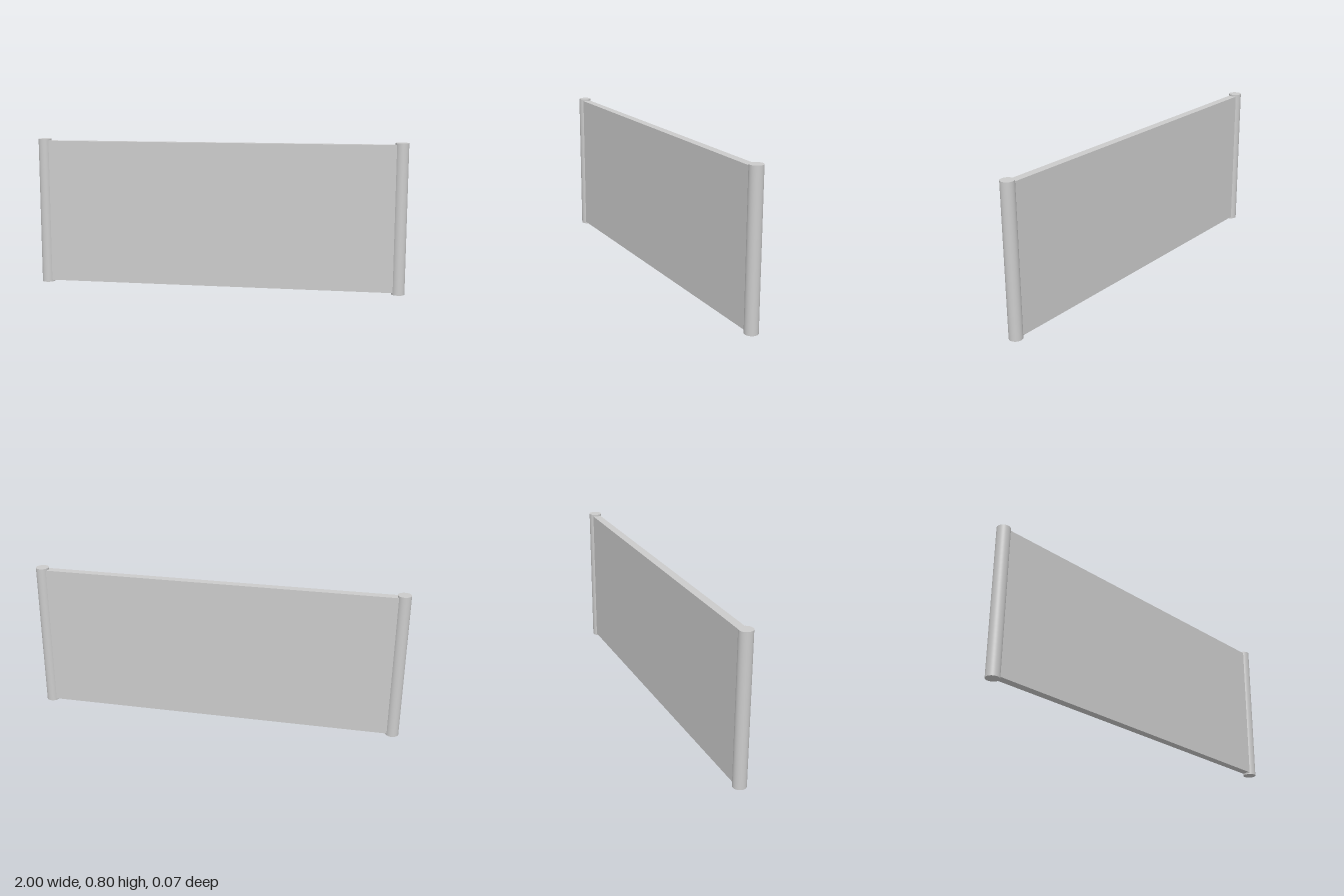
import * as THREE from 'three';

export function createModel() {
  const group = new THREE.Group();
  const material = new THREE.MeshStandardMaterial({ color: 0xcccccc });
  const height = 0.8, radius = 0.035, postX = 1 - radius;

  // Flat panel, slightly shorter than the posts and running into them
  const panel = new THREE.Mesh(new THREE.BoxGeometry(postX * 2, 0.78, 0.044), material);
  panel.name = 'panel';
  panel.position.y = height / 2;
  group.add(panel);

  // Round post at each end
  const postGeometry = new THREE.CylinderGeometry(radius, radius, height, 48);
  for (const side of [-1, 1]) {
    const post = new THREE.Mesh(postGeometry, material);
    post.name = side > 0 ? 'leftPost' : 'rightPost';
    post.position.set(side * postX, height / 2, 0);
    group.add(post);
  }
  return group;
}
